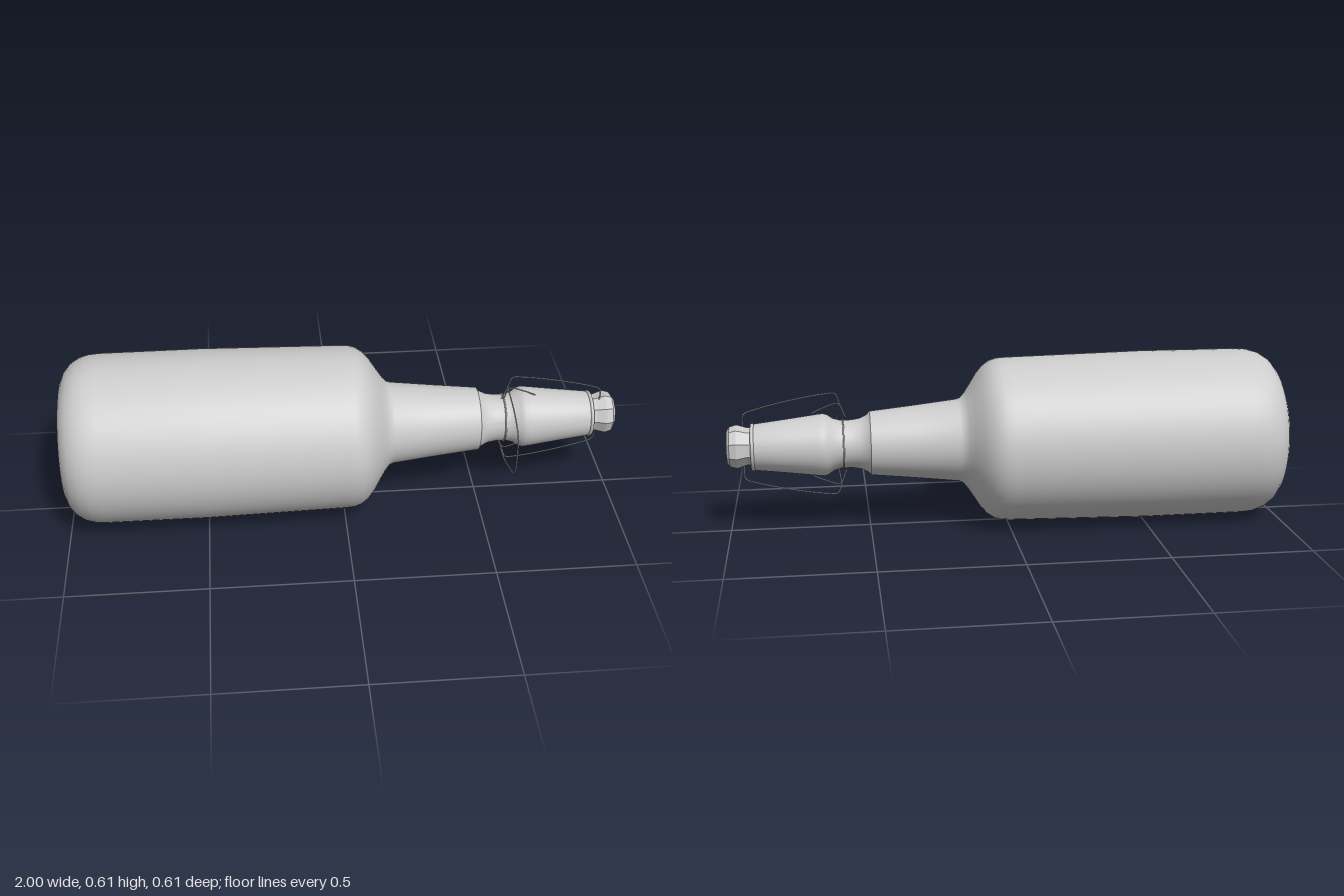
import * as THREE from 'three';
import { toCreasedNormals } from 'three/addons/utils/BufferGeometryUtils.js';

const AXIS_Y = 0.308; // height of the lying bottle's axis
const NECK_Y = 0.311, NECK_Z = -0.007; // the neck sits slightly off axis

const material = new THREE.MeshStandardMaterial({ color: 0xcccccc });
const facetMaterial = new THREE.MeshStandardMaterial({ color: 0xcccccc, flatShading: true });

function add(group, name, geometry, mat = material) {
  const mesh = new THREE.Mesh(geometry, mat);
  mesh.name = name;
  group.add(mesh);
  return mesh;
}

// Turned shape along x from [x, radius] pairs, running towards +x
function turned(profile, sides) {
  const points = profile.map(([x, r]) => new THREE.Vector2(r, x));
  return new THREE.LatheGeometry(points, sides).rotateZ(-Math.PI / 2);
}

// Thin wire through [x, y, z] points
function wire(points, radius = 0.0025) {
  const curve = new THREE.CatmullRomCurve3(points.map(p => new THREE.Vector3(...p)), false, 'centripetal');
  return new THREE.TubeGeometry(curve, 48, radius, 5, false);
}

// Ring around the neck
function ring(x, radius, thickness) {
  return new THREE.TorusGeometry(radius, thickness, 6, 36).rotateY(Math.PI / 2).translate(x, NECK_Y, NECK_Z);
}

export function createModel() {
  const bottle = new THREE.Group();
  bottle.name = 'swingTopBottle';

  // Body, shoulder and neck, with a shallow hollow in the base
  const glass = turned([
    [-0.965, 0], [-0.97, 0.06], [-0.98, 0.11], [-0.995, 0.17], [-1, 0.2], [-0.998, 0.222],
    [-0.985, 0.25], [-0.965, 0.274], [-0.935, 0.293], [-0.9, 0.303], [-0.86, 0.306],
    [-0.5, 0.307], [0, 0.297], [0.03, 0.295], [0.055, 0.287], [0.08, 0.27], [0.105, 0.241],
    [0.13, 0.202], [0.15, 0.172], [0.165, 0.155], [0.18, 0.149], [0.34, 0.131], [0.495, 0.115],
    [0.505, 0.103], [0.53, 0.091], [0.56, 0.086], [0.6, 0.086], [0.625, 0.093], [0.645, 0.107],
    [0.66, 0.112], [0.68, 0.11], [0.79, 0.096], [0.9, 0.083], [0.915, 0.078], [0.915, 0],
  ], 56);
  const pos = glass.attributes.position;
  for (let i = 0; i < pos.count; i++) {
    const t = THREE.MathUtils.smoothstep(pos.getX(i), 0, 0.2);
    pos.setY(i, pos.getY(i) + AXIS_Y + t * (NECK_Y - AXIS_Y));
    pos.setZ(i, pos.getZ(i) + t * NECK_Z);
  }
  add(bottle, 'glassBottle', toCreasedNormals(glass, 0.6));

  // Faceted stopper
  const stopper = turned([[0.9, 0], [0.9, 0.066], [0.93, 0.068], [0.965, 0.079], [0.99, 0.072], [1, 0.058], [1, 0]], 9);
  add(bottle, 'stopper', stopper.translate(0, NECK_Y + 0.003, NECK_Z), facetMaterial);

  // Seal at the mouth and wire collar in the neck groove
  add(bottle, 'mouthSeal', ring(0.91, 0.079, 0.007));
  add(bottle, 'neckCollar', ring(0.59, 0.088, 0.003));

  // Bail wires above and below the neck, hooked into the stopper
  for (const side of [1, -1]) {
    const path = [
      [0.58, 0.095], [0.6, 0.145], [0.615, 0.182], [0.65, 0.182], [0.76, 0.165],
      [0.9, 0.132], [0.94, 0.115], [0.943, 0.065],
    ].map(([x, r]) => [x, NECK_Y + side * r, side * 0.01]);
    add(bottle, side > 0 ? 'upperBailWire' : 'lowerBailWire', wire(path));

    // Short pivot wire joining the collar and the bail
    const pivot = [[0.585, 0.1], [0.605, 0.142], [0.66, 0.128], [0.7, 0.11]]
      .map(([x, r]) => [x, NECK_Y + side * r, side * 0.02]);
    add(bottle, side > 0 ? 'upperPivotWire' : 'lowerPivotWire', wire(pivot));
  }

  // Lever loop standing out in front of the neck
  add(bottle, 'leverWire', wire([
    [0.6, 0.45, 0], [0.6, 0.445, 0.06], [0.605, 0.415, 0.13], [0.608, 0.362, 0.2], [0.608, 0.31, 0.21],
    [0.608, 0.2, 0.192], [0.605, 0.172, 0.12], [0.6, 0.157, 0.04], [0.6, 0.157, -0.04],
  ]));

  return bottle;
}
